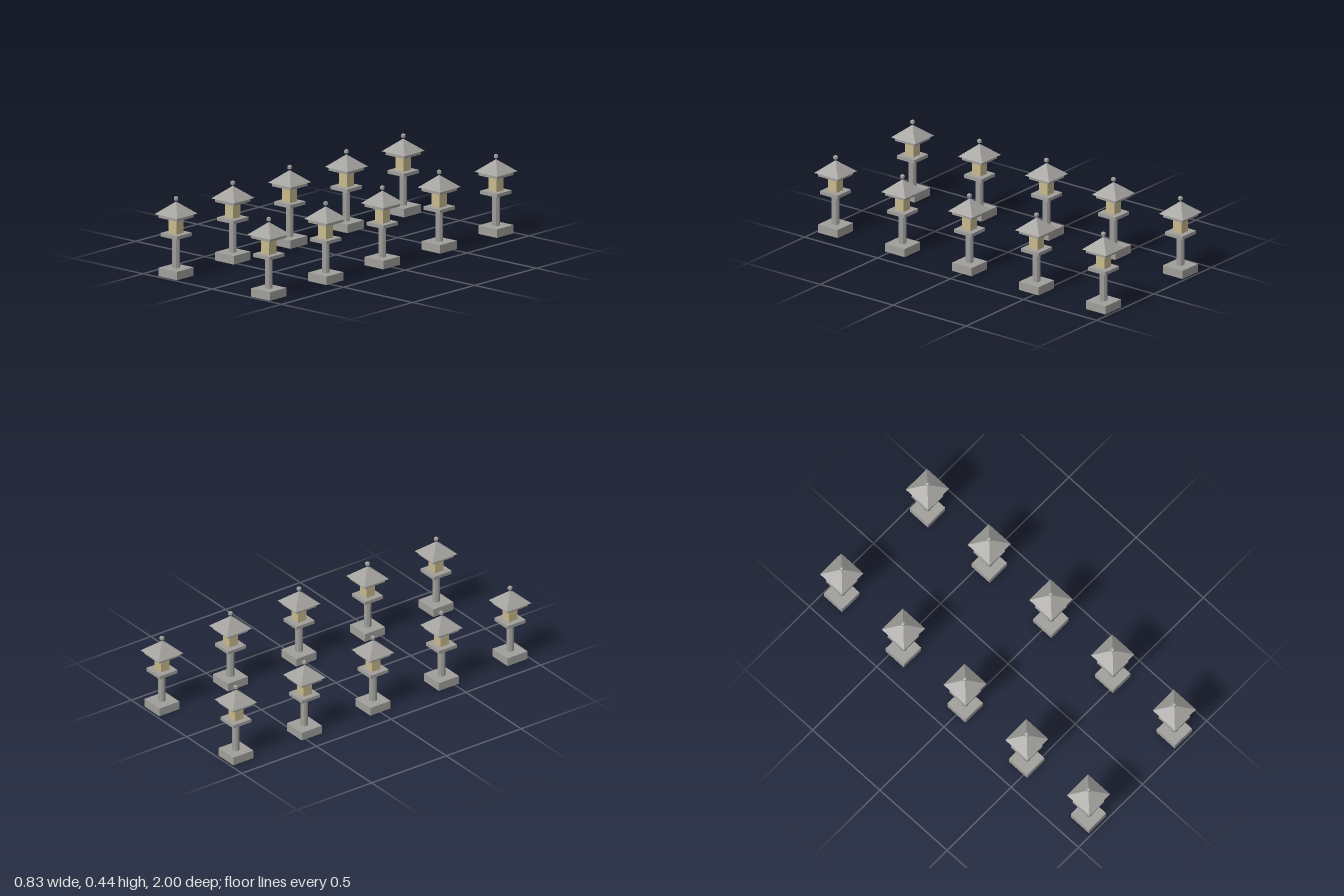
import * as THREE from 'three';

const stone = new THREE.MeshStandardMaterial({ color: 0xa09f9c, flatShading: true });
stone.name = 'stone';
const glow = new THREE.MeshStandardMaterial({ color: 0xc8ba8e, flatShading: true });
glow.name = 'warm lamp';

// Square block centred on the axis, from height y0 to y1
function block(name, width, y0, y1, material = stone) {
  const mesh = new THREE.Mesh(new THREE.BoxGeometry(width, y1 - y0, width), material);
  mesh.name = name;
  mesh.position.y = (y0 + y1) / 2;
  return mesh;
}

function createLantern() {
  const lantern = new THREE.Group();

  // Octagonal post
  const post = new THREE.Mesh(new THREE.CylinderGeometry(0.0207, 0.0207, 0.168, 8), stone);
  post.name = 'post';
  post.position.y = 0.131;

  // Four-sided roof, turned so its eaves are square to the axes
  const roofGeometry = new THREE.ConeGeometry(0.165 * Math.SQRT1_2, 0.069, 4);
  roofGeometry.rotateY(Math.PI / 4);
  const roof = new THREE.Mesh(roofGeometry, stone);
  roof.name = 'roof';
  roof.position.y = 0.3795;

  // Faceted jewel on the peak
  const finial = new THREE.Mesh(new THREE.SphereGeometry(0.0145, 6, 3), stone);
  finial.name = 'finial';
  finial.position.y = 0.4295;

  lantern.add(
    block('base', 0.135, 0, 0.047),
    post,
    block('platform', 0.12, 0.221, 0.24),
    block('lampBox', 0.058, 0.24, 0.314, glow),
    block('eave', 0.135, 0.325, 0.345),
    roof,
    finial
  );
  return lantern;
}

export function createModel() {
  const model = new THREE.Group();
  model.name = 'stoneLanternAvenue';
  const lantern = createLantern();

  // Two rows of five lanterns
  for (const side of [-1, 1]) {
    for (let i = -2; i <= 2; i++) {
      const copy = lantern.clone();
      copy.name = `${side > 0 ? 'left' : 'right'}Lantern${i + 3}`;
      copy.position.set(side * 0.335, 0, i * 0.4588);
      model.add(copy);
    }
  }
  return model;
}
